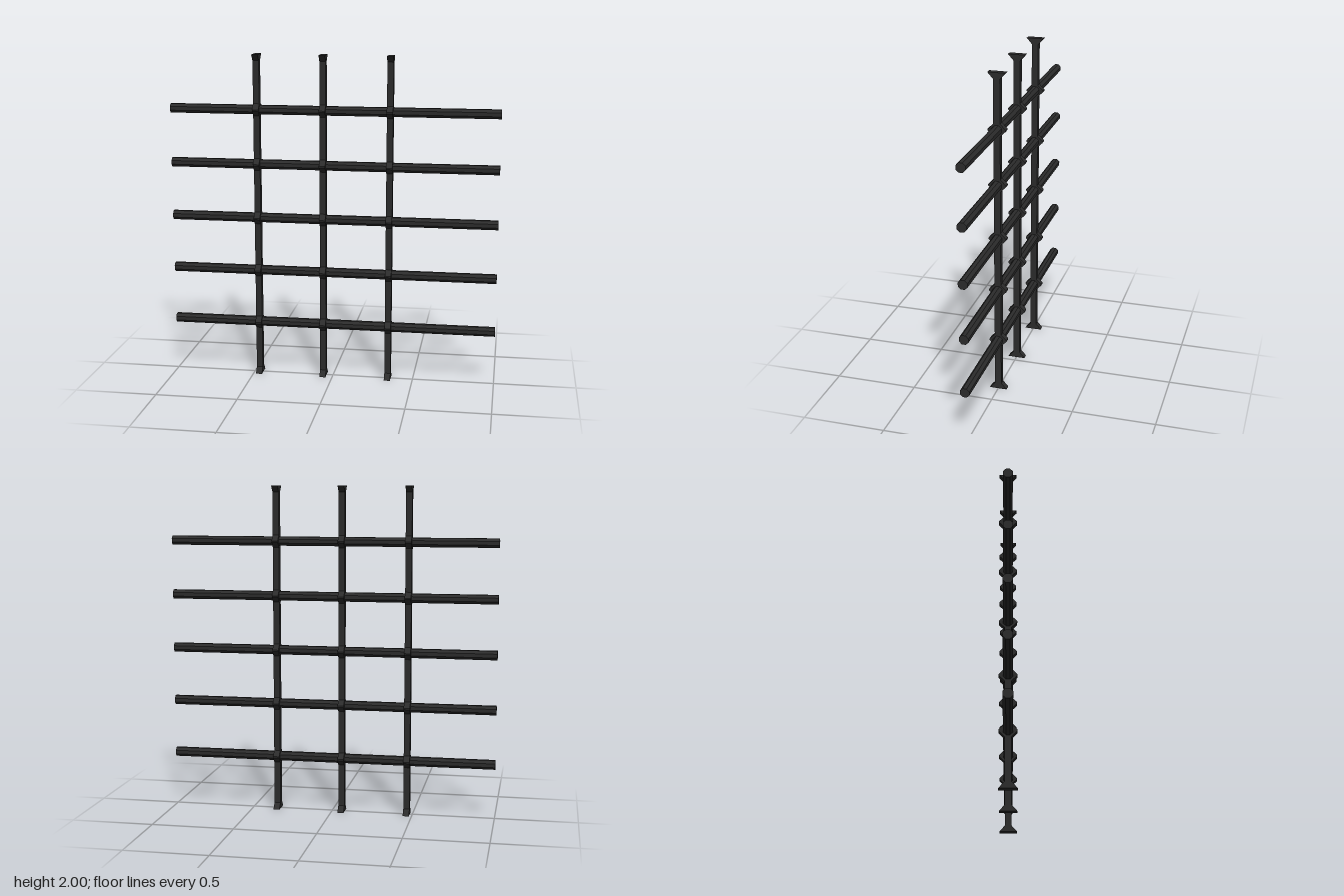
import * as THREE from 'three';

const RAIL_Y = [1, 2, 3, 4, 5].map((i) => i / 3);
const BAR_X = [-0.465, -0.06, 0.345];
const HALF = 0.02;    // half depth of a plain bar
const FLARE = 0.053;  // half depth at a collar
const RISE = 0.037;   // height over which the bar flares

// Side outline of an upright: flared feet, flared head and a collar at every rail
function uprightGeometry(width) {
  const edge = [[FLARE, 0], [HALF, RISE]];
  for (const y of RAIL_Y) edge.push([HALF, y - RISE], [FLARE, y - 0.004], [FLARE, y + 0.004], [HALF, y + RISE]);
  edge.push([HALF, 2 - RISE], [FLARE, 2]);
  const mirrored = edge.map(([z, y]) => [-z, y]).reverse();
  const shape = new THREE.Shape([...edge, ...mirrored].map(([z, y]) => new THREE.Vector2(z, y)));
  const geometry = new THREE.ExtrudeGeometry(shape, { depth: width, bevelEnabled: false });
  geometry.translate(0, 0, -width / 2);
  geometry.rotateY(-Math.PI / 2);
  return geometry;
}

// Eight-sided rail lying along x, with flats facing front and up
function railGeometry() {
  const radius = 0.0275 / Math.cos(Math.PI / 8);
  const geometry = new THREE.CylinderGeometry(radius, radius, 2, 8);
  geometry.rotateY(Math.PI / 8);
  geometry.rotateZ(Math.PI / 2);
  return geometry;
}

export function createModel() {
  const model = new THREE.Group();
  model.name = 'barGrille';
  const iron = new THREE.MeshStandardMaterial({ color: 0x2b2b2b, flatShading: true });

  const upright = uprightGeometry(0.038);
  BAR_X.forEach((x, i) => {
    const mesh = new THREE.Mesh(upright, iron);
    mesh.name = `uprightBar${i + 1}`;
    mesh.position.x = x;
    model.add(mesh);
  });

  const rail = railGeometry();
  RAIL_Y.forEach((y, i) => {
    const mesh = new THREE.Mesh(rail, iron);
    mesh.name = `crossRail${i + 1}`;
    mesh.position.y = y;
    model.add(mesh);
  });
  return model;
}
